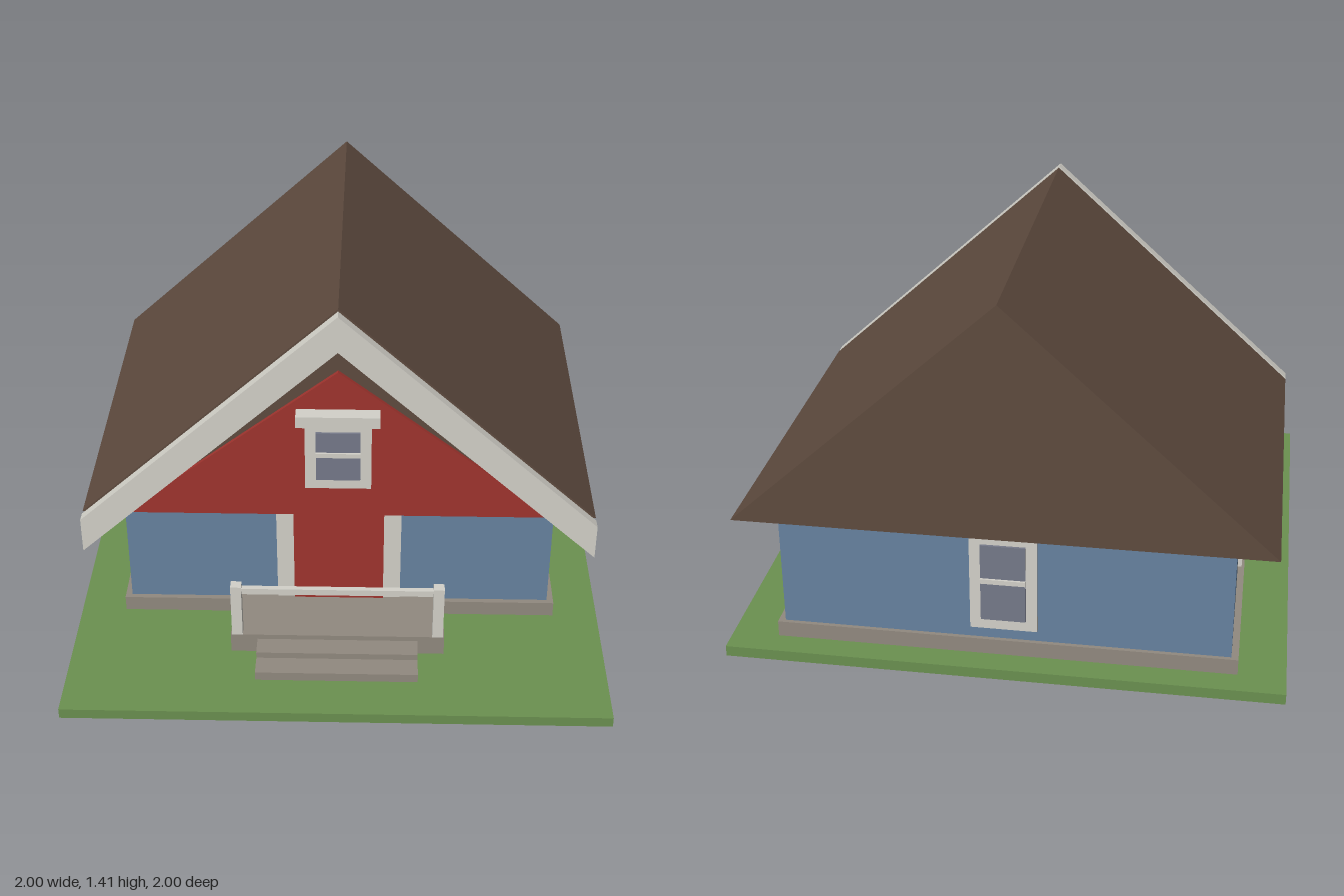
import * as THREE from 'three';

const paint = (name, color) => {
  const m = new THREE.MeshStandardMaterial({ color });
  m.name = name;
  return m;
};

export function createModel() {
  const grass = paint('grass', 0x6b9150);
  const stone = paint('stone', 0x928a80);
  const blue = paint('blueSiding', 0x6783a0);
  const red = paint('barnRed', 0xa0342e);
  const trim = paint('trim', 0xd4d2ca);
  const roofBrown = paint('roofBrown', 0x5f4b3f);
  const glass = paint('glass', 0x767a8a);

  const house = new THREE.Group();
  house.name = 'house';

  // Box given by its min and max along each axis
  const box = (name, mat, [x0, x1], [y0, y1], [z0, z1], parent = house) => {
    const mesh = new THREE.Mesh(new THREE.BoxGeometry(x1 - x0, y1 - y0, z1 - z0), mat);
    mesh.position.set((x0 + x1) / 2, (y0 + y1) / 2, (z0 + z1) / 2);
    mesh.name = name;
    parent.add(mesh);
    return mesh;
  };

  // Outline in x and y, extruded from z0 to z1
  const slab = (name, mat, points, z0, z1) => {
    const shape = new THREE.Shape(points.map(([x, y]) => new THREE.Vector2(x, y)));
    const geo = new THREE.ExtrudeGeometry(shape, { depth: z1 - z0, bevelEnabled: false });
    const mesh = new THREE.Mesh(geo, mat);
    mesh.position.z = z0;
    mesh.name = name;
    house.add(mesh);
  };

  // Lawn, foundation and walls
  box('lawn', grass, [-1, 1], [0, 0.04], [-1, 1]);
  box('foundation', stone, [-0.83, 0.83], [0.04, 0.1], [-0.905, 0.43]);
  box('walls', blue, [-0.805, 0.805], [0.1, 0.55], [-0.89, 0.41]);

  // Roof, front gable panel and bargeboard
  slab('roof', roofBrown, [[-0.95, 0.55], [0.95, 0.55], [0, 1.415]], -0.97, 0.484);
  slab('gablePanel', red, [[-0.79, 0.56], [0.79, 0.56], [0, 1.172]], 0.484, 0.5);
  slab('bargeboard', trim, [
    [-0.95, 0.41], [0, 1.275], [0.95, 0.41], [0.95, 0.55], [0, 1.415], [-0.95, 0.55],
  ], 0.5, 0.541);

  // Door with side casings
  box('door', red, [-0.17, 0.17], [0.12, 0.55], [0.41, 0.437]);
  for (const s of [-1, 1]) {
    box('doorCasing', trim, [s * 0.2025 - 0.0325, s * 0.2025 + 0.0325], [0.1, 0.55], [0.41, 0.431]);
  }

  // Porch and steps
  box('porch', stone, [-0.4, 0.4], [0.04, 0.12], [0.41, 0.665]);
  box('upperStep', stone, [-0.3, 0.3], [0.04, 0.1], [0.665, 0.743]);
  box('lowerStep', stone, [-0.3, 0.3], [0.04, 0.075], [0.743, 0.825]);

  // Porch railing
  for (const s of [-1, 1]) {
    box('railPost', trim, [s * 0.375 - 0.02, s * 0.375 + 0.02], [0.12, 0.343], [0.627, 0.665]);
  }
  box('handrail', trim, [-0.355, 0.355], [0.305, 0.33], [0.635, 0.655]);

  // Window facing +z about its own origin; y0..y1 is the frame height
  const addWindow = (name, y0, y1, x, z, turn) => {
    const w = new THREE.Group();
    w.name = name;
    const mid = (y0 + y1) / 2 + 0.01;
    box('frame', trim, [-0.12, 0.12], [y0, y1], [0, 0.015], w);
    box('pane', glass, [-0.08, 0.08], [y0 + 0.042, y1 - 0.042], [0.015, 0.024], w);
    box('sashBar', trim, [-0.08, 0.08], [mid - 0.009, mid + 0.009], [0.015, 0.032], w);
    box('headTrim', trim, [-0.15, 0.15], [y1, y1 + 0.045], [0, name === 'gableWindow' ? 0.055 : 0.044], w);
    w.position.set(x, 0, z);
    w.rotation.y = turn;
    house.add(w);
  };
  addWindow('gableWindow', 0.69, 0.975, 0, 0.5, 0);
  addWindow('leftWindow', 0.147, 0.532, 0.805, -0.24, Math.PI / 2);
  addWindow('rightWindow', 0.147, 0.532, -0.805, -0.24, -Math.PI / 2);
  addWindow('backWindow', 0.147, 0.532, 0, -0.89, Math.PI);

  return house;
}
